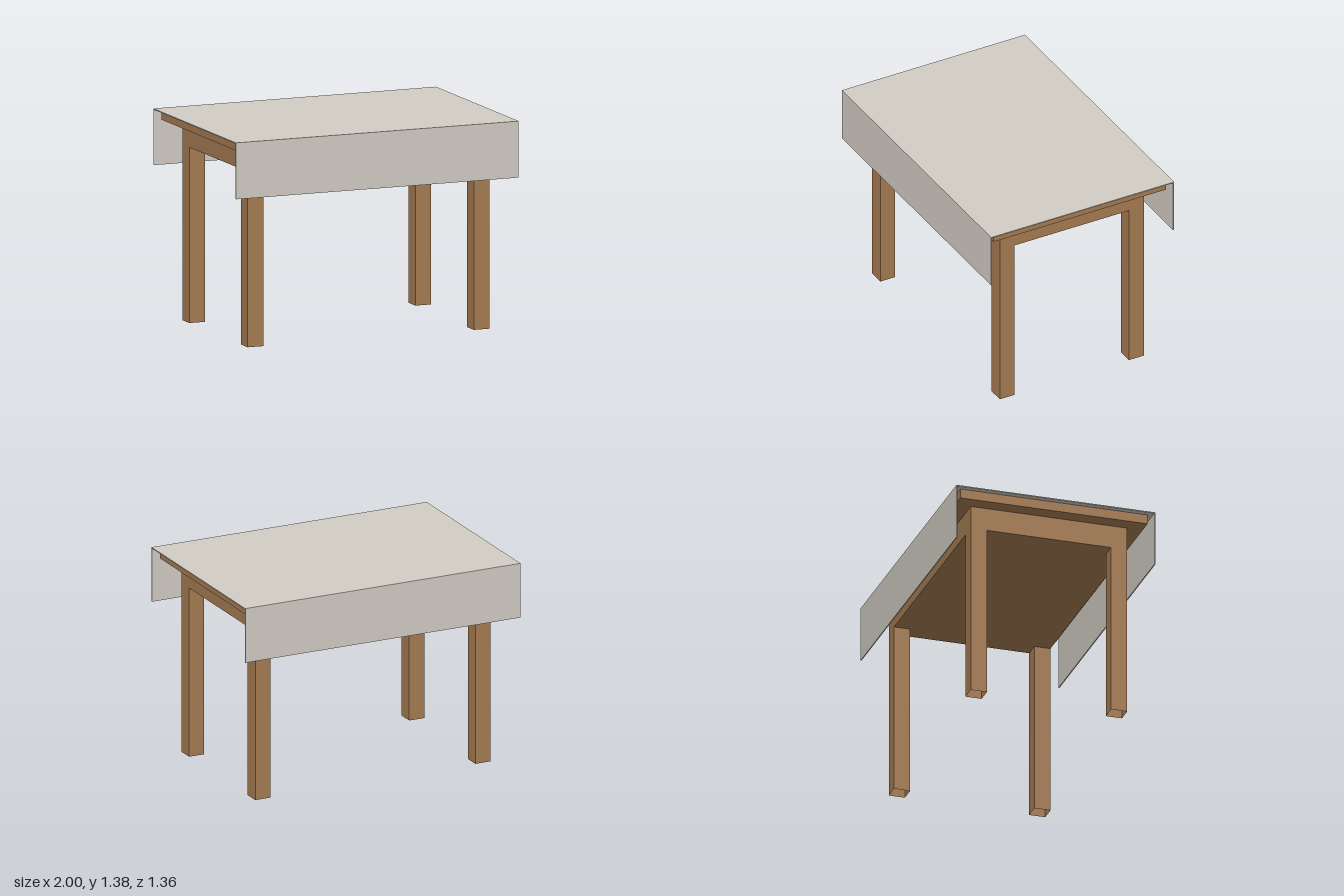
import * as THREE from 'three';

export function createModel() {
  const model = new THREE.Group();
  const wood = new THREE.MeshStandardMaterial({ color: 0xa67c52, flatShading: true });
  const legWood = new THREE.MeshStandardMaterial({ color: 0xa67c52, flatShading: true, side: THREE.DoubleSide });
  const cloth = new THREE.MeshStandardMaterial({ color: 0xd2cdc4, flatShading: true });

  const add = (name, geometry, material, x = 0, y = 0, z = 0) => {
    const mesh = new THREE.Mesh(geometry, material);
    mesh.name = name;
    mesh.position.set(x, y, z);
    model.add(mesh);
    return mesh;
  };

  // Levels from the floor up
  const apronBottom = 1.16, apronTop = 1.315, boardTop = 1.378, clothTop = 1.385;

  // Table board and the solid frame below it
  add('tableTop', new THREE.BoxGeometry(1.92, boardTop - apronTop, 1.28), wood, 0, (boardTop + apronTop) / 2);
  add('apron', new THREE.BoxGeometry(1.71, apronTop - apronBottom, 1.07), wood, 0, (apronTop + apronBottom) / 2);

  // Four square legs, hollow and open at the foot
  const legWidth = 0.11;
  const legGeometry = new THREE.CylinderGeometry(
    legWidth / Math.SQRT2, legWidth / Math.SQRT2, apronBottom, 4, 1, true
  ).rotateY(Math.PI / 4);
  for (const [sideName, sx] of [['Left', 1], ['Right', -1]]) {
    for (const [endName, sz] of [['front', 1], ['back', -1]]) {
      add(`${endName}${sideName}Leg`, legGeometry, legWood, sx * 0.8, apronBottom / 2, sz * 0.48);
    }
  }

  // Cloth: a thin sheet over the top, hanging down at front and back
  const half = 0.68, thick = 0.007, hem = 1.012;
  const section = new THREE.Shape([
    [-half, hem], [-half + thick, hem], [-half + thick, clothTop - thick],
    [half - thick, clothTop - thick], [half - thick, hem], [half, hem],
    [half, clothTop], [-half, clothTop],
  ].map(([z, y]) => new THREE.Vector2(z, y)));
  const clothGeometry = new THREE.ExtrudeGeometry(section, { depth: 2, bevelEnabled: false })
    .translate(0, 0, -1)
    .rotateY(Math.PI / 2);
  add('tablecloth', clothGeometry, cloth);

  return model;
}
